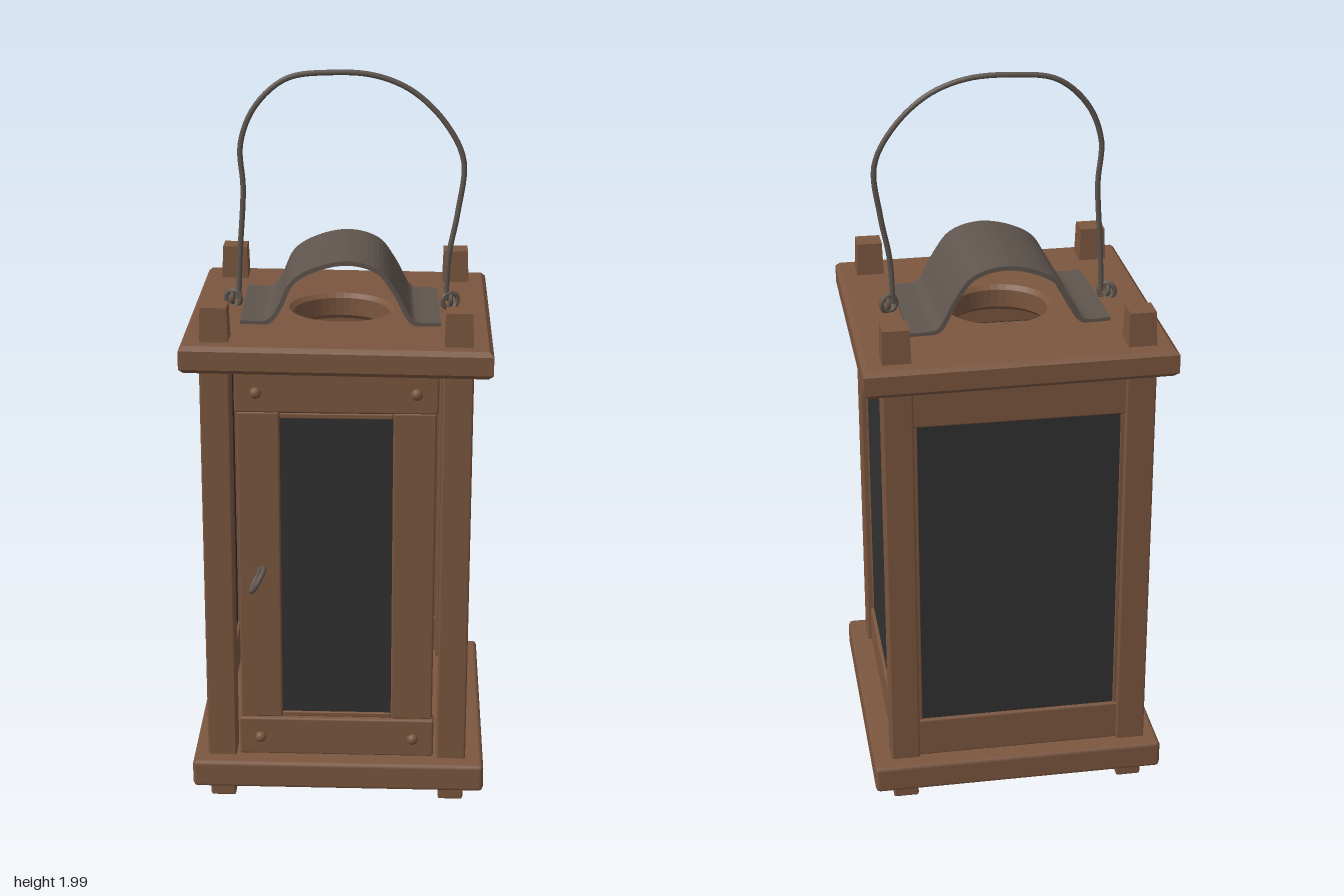
import * as THREE from 'three';
import { RoundedBoxGeometry } from 'three/addons/geometries/RoundedBoxGeometry.js';

const material = (name, color, side = THREE.FrontSide) => {
  const m = new THREE.MeshStandardMaterial({ color, side });
  m.name = name;
  return m;
};

export function createModel() {
  const wood = material('brown wood', 0x7b563f);
  const iron = material('dark iron', 0x5f554e, THREE.DoubleSide);
  const glass = material('smoky glass', 0x303030);
  const model = new THREE.Group();
  model.name = 'lantern';

  const add = (name, geometry, mat, x = 0, y = 0, z = 0, parent = model) => {
    const mesh = new THREE.Mesh(geometry, mat);
    mesh.name = name;
    mesh.position.set(x, y, z);
    parent.add(mesh);
    return mesh;
  };
  const board = (name, w, h, d, x, y, z, parent = model, r = 0.006) =>
    add(name, new RoundedBoxGeometry(w, h, d, 1, r), wood, x, y, z, parent);
  const tube = (name, points, radius, closed = false, parent = model) =>
    add(name, new THREE.TubeGeometry(
      new THREE.CatmullRomCurve3(points.map(p => new THREE.Vector3(...p)), closed),
      points.length * 6, radius, 8, closed), iron, 0, 0, 0, parent);

  const midZ = -0.03; // centre of the body in depth

  // Base board
  board('baseBoard', 0.81, 0.08, 0.81, 0.005, 0.105, -0.025, model, 0.012);

  // Roof board with a round smoke hole
  const roof = new THREE.Shape();
  const w = 0.397, d = 0.393;
  roof.moveTo(-w, -d);
  roof.lineTo(w, -d);
  roof.lineTo(w, d);
  roof.lineTo(-w, d);
  roof.closePath();
  const hole = new THREE.Path();
  hole.absarc(0, 0, 0.145, 0, Math.PI * 2, true);
  roof.holes.push(hole);
  const roofGeometry = new THREE.ExtrudeGeometry(roof, {
    depth: 0.05, bevelEnabled: true, bevelThickness: 0.012, bevelSize: 0.012,
    bevelSegments: 1, curveSegments: 20,
  });
  roofGeometry.rotateX(-Math.PI / 2);
  const roofBoard = add('roofBoard', roofGeometry, wood, 0, 1.287, -0.027);
  roofBoard.rotation.z = -0.01;

  // Corner posts with slim feet and slightly tapered tops
  for (const x of [-0.32, 0.32]) {
    for (const z of [-0.348, 0.294]) {
      board('cornerPost', 0.08, 1.18, 0.08, x, 0.71, z);
      board('postFoot', 0.07, 0.08, 0.065, x, 0.05, z);
      const cap = new THREE.CylinderGeometry(0.049, 0.055, 0.13, 4).toNonIndexed();
      cap.rotateY(Math.PI / 4);
      cap.computeVertexNormals();
      add('postTop', cap, wood, x, 1.373 + (x < 0 ? 0.006 : -0.002), z);
    }
  }

  // Glazed panels: left side, right side and back
  const panels = [
    ['rightPanel', -0.335, midZ, -Math.PI / 2],
    ['leftPanel', 0.335, midZ, Math.PI / 2],
    ['backPanel', 0, -0.365, Math.PI],
  ];
  for (const [name, x, z, turn] of panels) {
    const panel = new THREE.Group();
    panel.name = name;
    panel.position.set(x, 0, z);
    panel.rotation.y = turn;
    model.add(panel);
    board('topRail', 0.57, 0.115, 0.03, 0, 1.217, 0, panel);
    board('bottomRail', 0.57, 0.115, 0.03, 0, 0.202, 0, panel);
    for (const s of [-1, 1]) board('glazingBead', 0.012, 0.91, 0.02, s * 0.276, 0.71, -0.002, panel, 0.003);
    add('pane', new THREE.BoxGeometry(0.56, 0.91, 0.01), glass, 0, 0.71, 0, panel);
  }

  // Front door: rails, stiles and a narrow pane
  const door = new THREE.Group();
  door.name = 'door';
  door.position.z = 0.308;
  model.add(door);
  board('doorTopRail', 0.54, 0.112, 0.044, 0, 1.216, 0.003, door);
  board('doorBottomRail', 0.54, 0.112, 0.044, 0, 0.204, 0.003, door);
  for (const s of [-1, 1]) {
    board('doorStile', 0.115, 0.9, 0.036, s * 0.208, 0.71, 0, door);
    for (const y of [0.202, 1.216]) {
      const rivet = add('rivet', new THREE.SphereGeometry(0.016, 12, 8), wood, s * 0.212, y, 0.026, door);
      rivet.scale.z = 0.9;
    }
  }
  add('doorPane', new THREE.BoxGeometry(0.304, 0.9, 0.01), glass, 0, 0.71, 0.002, door);
  for (const y of [0.268, 1.148]) board('doorBead', 0.3, 0.014, 0.026, 0, y, 0, door, 0.003);

  // Door pull: a wire ring on a short stem
  const pull = new THREE.Group();
  pull.name = 'doorPull';
  pull.position.set(-0.208, 0.71, 0);
  pull.rotation.z = -0.5;
  model.add(pull);
  const ring = add('pullRing', new THREE.TorusGeometry(0.036, 0.007, 8, 20), iron, 0, 0, 0.4, pull);
  ring.rotation.y = Math.PI / 2;
  tube('pullStem', [[0, 0, 0.32], [0, 0, 0.345], [0, 0, 0.366]], 0.007, false, pull);

  // Bent sheet cover over the smoke hole
  const arch = new THREE.CatmullRomCurve3([
    [-0.27, 1.356], [-0.195, 1.358], [-0.165, 1.395], [-0.13, 1.465], [-0.07, 1.502], [0.02, 1.52],
    [0.1, 1.497], [0.145, 1.44], [0.19, 1.36], [0.21, 1.352], [0.27, 1.35],
  ].map(([x, y]) => new THREE.Vector3(x, y, 0)), false, 'centripetal');
  const line = arch.getPoints(50);
  const outline = new THREE.Shape();
  const offset = (i, t) => {
    const a = line[Math.max(i - 1, 0)], b = line[Math.min(i + 1, 50)];
    const l = a.distanceTo(b);
    return new THREE.Vector2(line[i].x - (b.y - a.y) / l * t, line[i].y + (b.x - a.x) / l * t);
  };
  outline.setFromPoints([
    ...line.map((p, i) => offset(i, -0.006)),
    ...line.map((p, i) => offset(50 - i, 0.006)),
  ]);
  const coverGeometry = new THREE.ExtrudeGeometry(outline, { depth: 0.36, bevelEnabled: false });
  coverGeometry.translate(0, 0, -0.18);
  const cover = add('smokeCover', coverGeometry, iron, 0, 0, -0.027);
  cover.rotation.y = 0.025;

  // Wire carrying handle with hooked ends
  tube('handle', [
    [-0.285, 1.37, -0.028], [-0.279, 1.5, -0.03], [-0.268, 1.68, -0.033], [-0.274, 1.8, -0.037],
    [-0.235, 1.9, -0.042], [-0.15, 1.975, -0.05], [-0.03, 1.992, -0.052], [0.09, 1.985, -0.05],
    [0.19, 1.945, -0.046], [0.28, 1.86, -0.04], [0.33, 1.76, -0.036], [0.317, 1.62, -0.033],
    [0.295, 1.5, -0.03], [0.288, 1.37, -0.028],
  ], 0.0075);
  for (const s of [-1, 1]) {
    const eye = add('handleEye', new THREE.TorusGeometry(0.022, 0.007, 8, 16), iron, s * 0.3, 1.37, -0.03);
    eye.rotation.y = s * 0.3;
    const loop = add('handleLoop', new THREE.TorusGeometry(0.014, 0.006, 8, 14), iron, s * 0.302, 1.372, -0.03);
    loop.rotation.y = Math.PI / 2;
  }
  return model;
}
